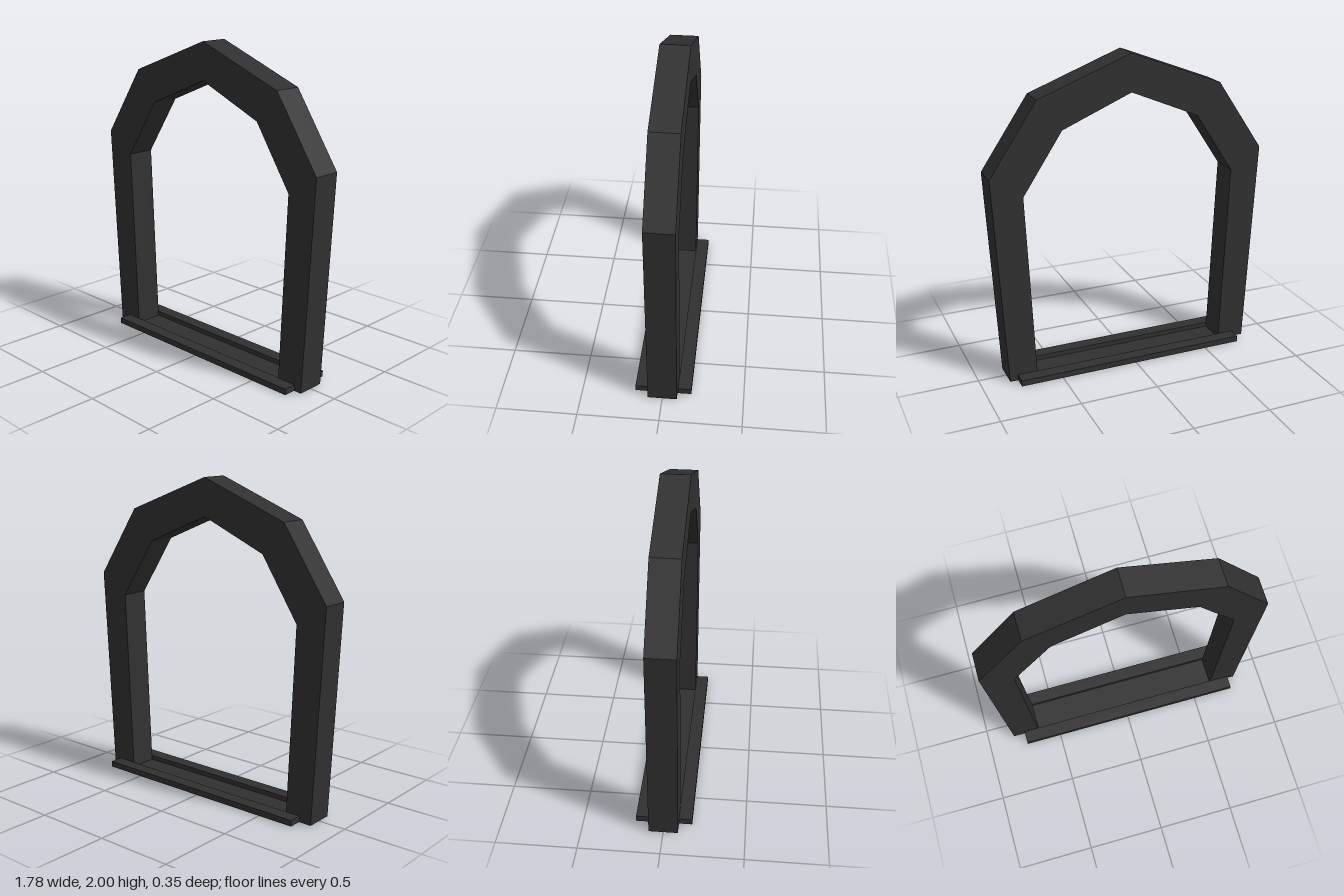
import * as THREE from 'three';

export function createModel() {
  const group = new THREE.Group();
  const charcoal = new THREE.MeshStandardMaterial({ color: 0x303030 });
  charcoal.name = 'charcoal';

  // Arch outline: right half, outer edge up then inner edge; mirrored for the left
  const outer = [[0.82, 0], [0.89, 1.33], [0.59, 1.775], [0, 2]];
  const inner = [[0.64, 0], [0.69, 1.2], [0.44, 1.58], [0, 1.765]];
  const across = (half) => [
    ...half,
    ...half.slice(0, -1).reverse().map(([x, y]) => [-x, y]),
  ];
  const outline = [...across(outer), ...across(inner).reverse()];
  const shape = new THREE.Shape(outline.map(([x, y]) => new THREE.Vector2(x, y)));
  const depth = 0.18;
  const archGeometry = new THREE.ExtrudeGeometry(shape, { depth, bevelEnabled: false });
  archGeometry.translate(0, 0, -depth / 2);
  const arch = new THREE.Mesh(archGeometry, charcoal);
  arch.name = 'arch';
  group.add(arch);

  // Threshold: a shallow channel between two rails
  const threshold = new THREE.Group();
  threshold.name = 'threshold';
  const addBar = (name, height, z0, z1) => {
    const bar = new THREE.Mesh(new THREE.BoxGeometry(1.51, height, z1 - z0), charcoal);
    bar.position.set(0.015, height / 2 + 0.002, (z0 + z1) / 2);
    bar.name = name;
    threshold.add(bar);
  };
  addBar('frontRail', 0.038, 0.088, 0.172);
  addBar('backRail', 0.038, -0.176, -0.092);
  addBar('channelFloor', 0.008, -0.092, 0.088);
  group.add(threshold);

  return group;
}
